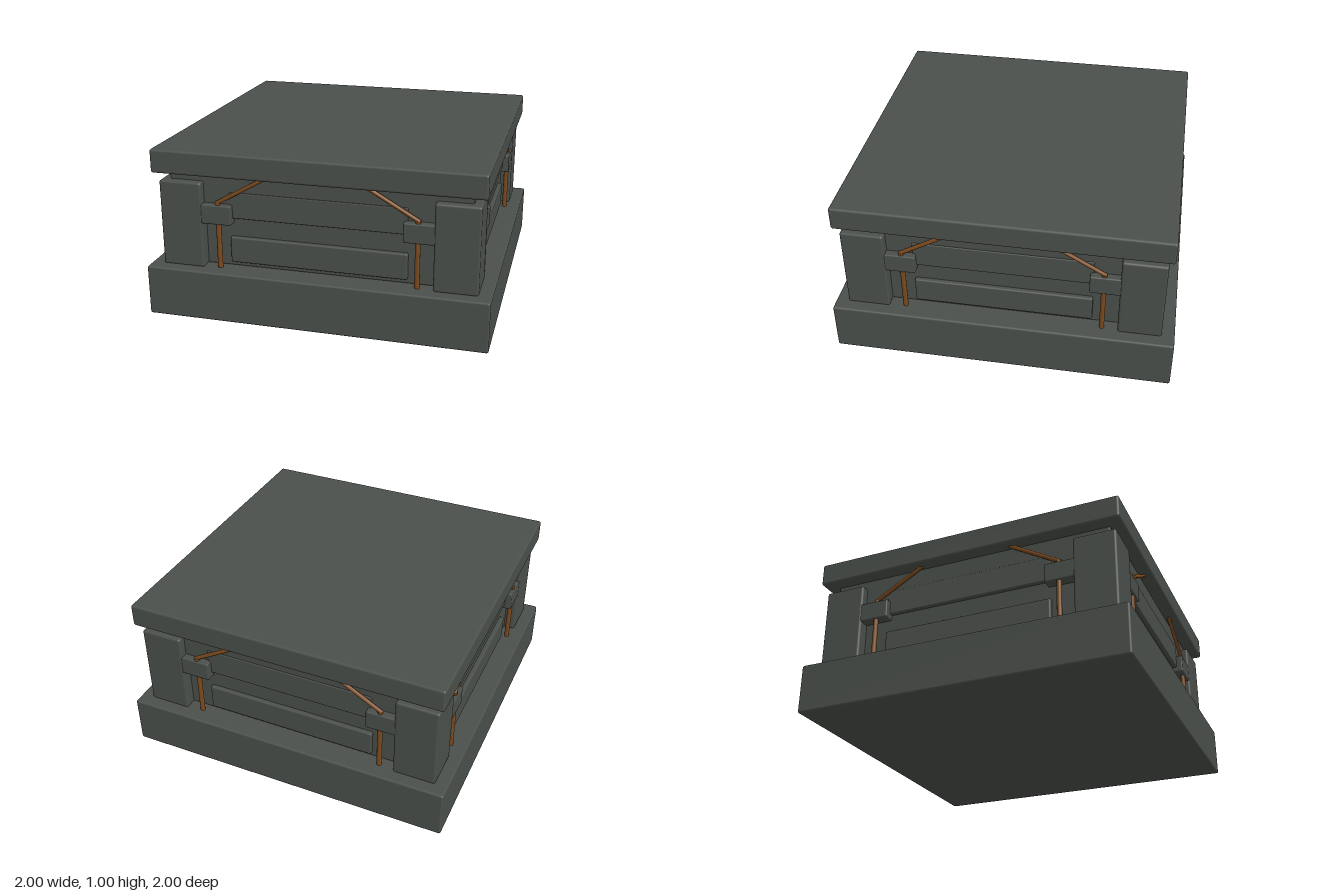
import * as THREE from 'three';
import { RoundedBoxGeometry } from 'three/addons/geometries/RoundedBoxGeometry.js';

export function createModel() {
  const stone = new THREE.MeshStandardMaterial({ color: 0x4b504b });
  stone.name = 'dark grey stone';
  const copper = new THREE.MeshStandardMaterial({ color: 0x7c4a1e });
  copper.name = 'brown copper';

  const model = new THREE.Group();
  model.name = 'pedestal';

  // Bevelled block given by its extents on each axis
  function block(name, parent, [x0, x1], [y0, y1], [z0, z1], bevel) {
    const mesh = new THREE.Mesh(
      new RoundedBoxGeometry(x1 - x0, y1 - y0, z1 - z0, 2, bevel), stone);
    mesh.position.set((x0 + x1) / 2, (y0 + y1) / 2, (z0 + z1) / 2);
    mesh.name = name;
    parent.add(mesh);
  }

  // Round pipe between two points
  function pipe(name, parent, from, to, radius) {
    const a = new THREE.Vector3(...from), b = new THREE.Vector3(...to);
    const dir = b.clone().sub(a);
    const mesh = new THREE.Mesh(
      new THREE.CylinderGeometry(radius, radius, dir.length(), 10), copper);
    mesh.position.copy(a).add(b).multiplyScalar(0.5);
    mesh.quaternion.setFromUnitVectors(new THREE.Vector3(0, 1, 0), dir.normalize());
    mesh.name = name;
    parent.add(mesh);
  }

  // Base, core and lid
  block('base', model, [-1, 1], [0, 0.3], [-1, 1], 0.012);
  block('lowerCore', model, [-0.855, 0.855], [0.3, 0.64], [-0.855, 0.855], 0.01);
  block('upperCore', model, [-0.875, 0.875], [0.6, 0.88], [-0.875, 0.875], 0.008);
  block('lid', model, [-0.957, 0.957], [0.86, 1], [-0.957, 0.957], 0.014);

  // Four identical sides, each with one corner pillar
  for (let i = 0; i < 4; i++) {
    const side = new THREE.Group();
    side.name = 'side' + (i + 1);
    side.rotation.y = i * Math.PI / 2;
    model.add(side);

    block('cornerPillar', side, [0.672, 0.925], [0.295, 0.81], [0.672, 0.925], 0.014);
    block('lowerPanel', side, [-0.52, 0.52], [0.33, 0.485], [0.82, 0.882], 0.01);
    block('upperPanel', side, [-0.52, 0.52], [0.6, 0.755], [0.82, 0.882], 0.006);

    // Clamp and bent pipe at each end of the side
    for (const s of [-1, 1]) {
      const xs = s > 0 ? [0.5, 0.7] : [-0.7, -0.5];
      block('bracket', side, xs, [0.567, 0.682], [0.84, 0.921], 0.008);
      pipe('uprightPipe', side, [s * 0.58, 0.295, 0.9], [s * 0.58, 0.695, 0.9], 0.015);
      pipe('slantedPipe', side, [s * 0.59, 0.69, 0.9], [s * 0.28, 0.868, 0.9], 0.012);
    }
  }
  return model;
}
